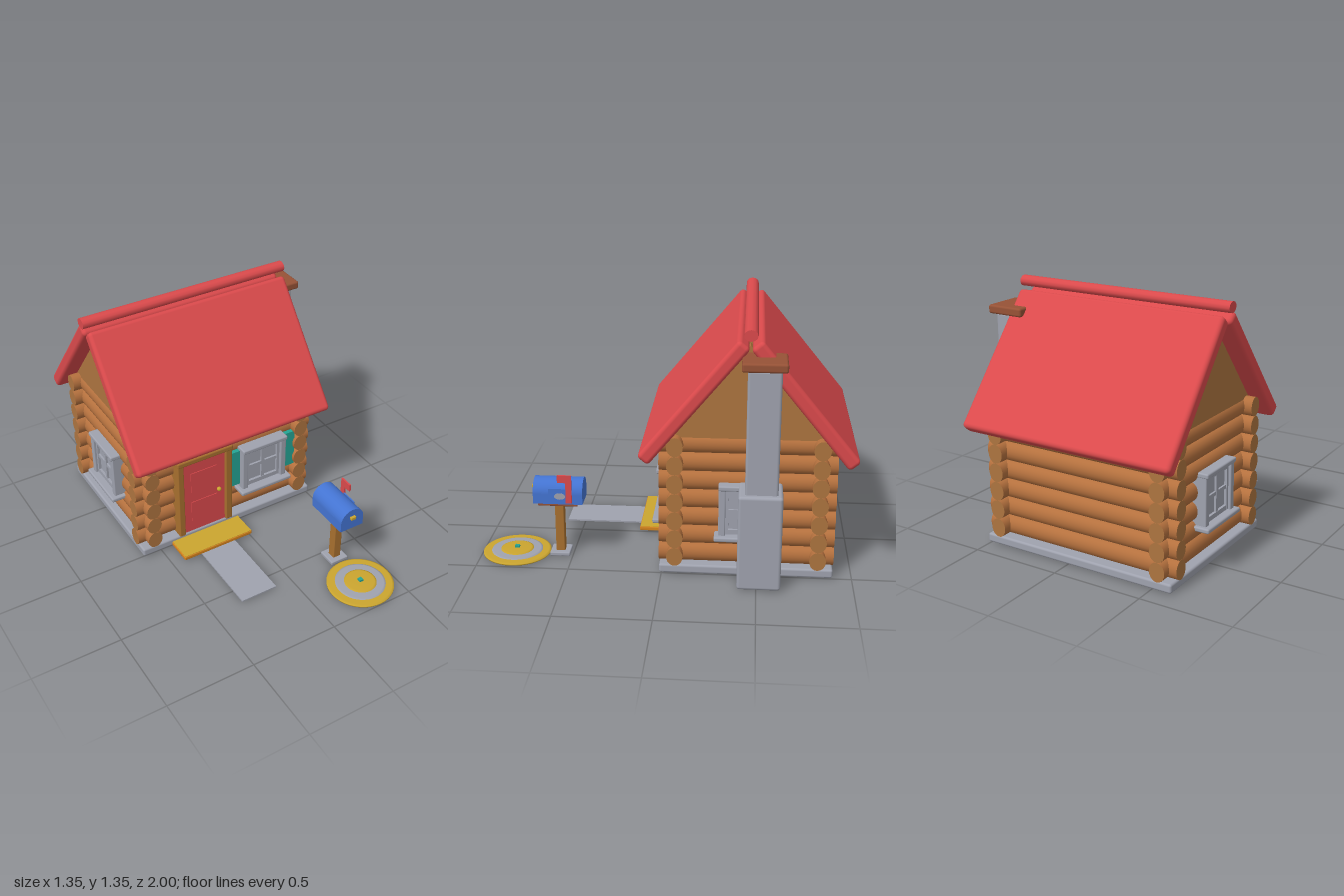
import * as THREE from 'three';
import { RoundedBoxGeometry } from 'three/addons/geometries/RoundedBoxGeometry.js';

const mat = (name, color) => {
  const m = new THREE.MeshStandardMaterial({ color });
  m.name = name;
  return m;
};

export function createModel() {
  const red = mat('red paint', 0xdb4a4c), log = mat('log bark', 0xb5713e), cut = mat('cut wood', 0xad743f);
  const frame = mat('frame wood', 0xa8702f), brown = mat('chimney cap brown', 0x965236);
  const grey = mat('stone grey', 0x9fa2ae), blue = mat('mailbox blue', 0x4474d2);
  const teal = mat('shutter teal', 0x24a494), gold = mat('gold', 0xcba52f), orange = mat('step orange', 0xd6841e);

  const model = new THREE.Group();
  model.name = 'logCabin';

  const add = (parent, name, geometry, material, x = 0, y = 0, z = 0) => {
    const m = new THREE.Mesh(geometry, material);
    m.name = name;
    m.position.set(x, y, z);
    parent.add(m);
    return m;
  };
  const group = (name) => {
    const g = new THREE.Group();
    g.name = name;
    model.add(g);
    return g;
  };
  // Box from its limits, with rounded edges when r > 0
  const box = (parent, name, material, [x0, x1], [y0, y1], [z0, z1], r = 0) => {
    const s = [x1 - x0, y1 - y0, z1 - z0];
    const geo = r ? new RoundedBoxGeometry(...s, 2, r) : new THREE.BoxGeometry(...s);
    return add(parent, name, geo, material, (x0 + x1) / 2, (y0 + y1) / 2, (z0 + z1) / 2);
  };

  // Wall lines run through the log centres
  const xL = 0.432, xR = -0.537, zF = -0.07, zB = -0.818, midZ = -0.444, midX = -0.0525;

  // Foundation
  box(model, 'foundation', grey, [-0.614, 0.51], [0.006, 0.055], [-0.9, 0.012], 0.012);

  // Stacked log walls with the ends crossing at the corners
  const walls = group('logWalls');
  const logGeometry = (length, alongX) => {
    const g = new THREE.CylinderGeometry(0.0515, 0.0515, length, 20);
    g.scale(alongX ? 1 : 0.84, 1, alongX ? 0.84 : 1);
    if (alongX) g.rotateZ(Math.PI / 2);
    else { g.scale(1, 1, 1); g.rotateX(Math.PI / 2); }
    return g;
  };
  const longLog = logGeometry(1.139, true), sideLog = logGeometry(0.92, false);
  for (let i = 0; i < 7; i++) {
    const y = 0.104 + i * 0.1022;
    for (const z of [zF, zB]) add(walls, 'longLog', longLog, [log, cut, cut], midX, y, z);
    for (const x of [xL, xR]) add(walls, 'sideLog', sideLog, [log, cut, cut], x, y, midZ);
  }

  // Gable walls under the roof
  const tri = new THREE.Shape([[-0.425, 0.735], [0.425, 0.735], [0, 1.245]].map((p) => new THREE.Vector2(...p)));
  const gable = new THREE.ExtrudeGeometry(tri, { depth: 0.06, bevelEnabled: false });
  for (const x of [xL, xR]) add(model, 'gable', gable, cut, x - 0.03, 0, midZ).rotation.y = Math.PI / 2;
  for (const m of model.children) if (m.name === 'gable') m.position.x += 0;

  // Two roof slabs and a ridge pole
  const slab = new RoundedBoxGeometry(1.22, 0.075, 0.802, 3, 0.022);
  for (const s of [1, -1]) {
    add(model, s > 0 ? 'frontRoof' : 'backRoof', slab, red, -0.053, 0.96, midZ + s * 0.283).rotation.x = s * 0.883;
  }
  const ridge = new THREE.CylinderGeometry(0.035, 0.035, 1.247, 12);
  ridge.scale(0.83, 1, 1);
  ridge.rotateZ(Math.PI / 2);
  add(model, 'ridgePole', ridge, red, -0.0525, 1.322, midZ);

  // Chimney
  const chimney = group('chimney');
  box(chimney, 'chimneyBase', grey, [0.46, 0.672], [0.006, 0.522], [-0.625, -0.4], 0.016);
  box(chimney, 'chimneyStack', grey, [0.485, 0.643], [0.5, 1.168], [-0.6, -0.432], 0.014);
  box(chimney, 'chimneyCap', brown, [0.46, 0.672], [1.165, 1.212], [-0.627, -0.403], 0.012);

  // Door with frame, two panels and a knob
  const door = group('door');
  box(door, 'doorLeaf', red, [-0.348, -0.076], [0.055, 0.555], [-0.06, 0.005]);
  for (const y of [[0.335, 0.47], [0.128, 0.265]]) box(door, 'doorPanel', red, [-0.296, -0.13], y, [0.003, 0.009]);
  for (const x of [[-0.383, -0.346], [-0.078, -0.038]]) box(door, 'doorPost', frame, x, [0.055, 0.56], [-0.06, 0.024], 0.006);
  box(door, 'doorLintel', frame, [-0.388, -0.034], [0.553, 0.588], [-0.06, 0.032], 0.01);
  add(door, 'doorKnob', new THREE.SphereGeometry(0.013, 14, 10), gold, -0.12, 0.297, 0.016);

  // Window facing +z, origin on the log centre line
  const addWindow = (name, x, z, turn) => {
    const w = group(name);
    w.position.set(x, 0, z);
    w.rotation.y = turn;
    box(w, 'windowPane', grey, [-0.13, 0.13], [0.22, 0.5], [0, 0.06]);
    for (const s of [-1, 1]) {
      box(w, 'windowJamb', grey, [s * 0.128 - 0.018, s * 0.128 + 0.018], [0.225, 0.5], [0, 0.09], 0.006);
      box(w, 'innerSash', grey, [s * 0.104 - 0.01, s * 0.104 + 0.01], [0.24, 0.49], [0, 0.075]);
    }
    for (const y of [0.253, 0.477]) box(w, 'sashRail', grey, [-0.11, 0.11], [y - 0.013, y + 0.013], [0, 0.074]);
    box(w, 'uprightBar', grey, [-0.01, 0.01], [0.24, 0.49], [0, 0.072]);
    box(w, 'crossBar', grey, [-0.11, 0.11], [0.357, 0.377], [0, 0.071]);
    box(w, 'windowLintel', grey, [-0.148, 0.148], [0.49, 0.517], [0, 0.1], 0.008);
    box(w, 'windowSill', grey, [-0.168, 0.168], [0.212, 0.238], [0, 0.118], 0.009);
    return w;
  };
  const front = addWindow('frontWindow', 0.177, zF, 0);
  front.scale.z = 1.12;
  for (const x of [[-0.212, -0.147], [0.147, 0.225]]) box(front, 'shutter', teal, x, [0.26, 0.497], [0, 0.06]);
  addWindow('leftWindow', xL, midZ, Math.PI / 2);
  addWindow('rightWindow', xR, midZ, -Math.PI / 2);

  // Door step and path
  box(model, 'doorStep', orange, [-0.432, 0.01], [0.01, 0.034], [-0.005, 0.165], 0.006);
  box(model, 'stepTop', gold, [-0.428, 0.006], [0.031, 0.036], [0, 0.161]);
  box(model, 'path', grey, [-0.322, -0.105], [0.004, 0.013], [0.1, 0.6]);

  // Mailbox on its post
  const mail = group('mailbox');
  const mx = 0.308;
  box(mail, 'postFoot', grey, [mx - 0.055, mx + 0.055], [0.006, 0.028], [0.512, 0.622], 0.006);
  box(mail, 'post', frame, [mx - 0.024, mx + 0.024], [0.02, 0.31], [0.543, 0.592], 0.005);
  box(mail, 'postShelf', brown, [mx - 0.06, mx + 0.06], [0.305, 0.324], [0.462, 0.676], 0.005);
  const arch = new THREE.Shape();
  arch.moveTo(-0.073, 0.323);
  arch.lineTo(0.073, 0.323);
  arch.lineTo(0.073, 0.378);
  arch.absarc(0, 0.378, 0.073, 0, Math.PI, false);
  add(mail, 'mailboxBody', new THREE.ExtrudeGeometry(arch, { depth: 0.267, bevelEnabled: false, curveSegments: 20 }), blue, mx, 0, 0.432);
  box(mail, 'mailboxPull', gold, [mx - 0.016, mx + 0.016], [0.388, 0.408], [0.695, 0.714], 0.004);
  box(mail, 'sidePlate', blue, [mx + 0.07, mx + 0.076], [0.335, 0.412], [0.52, 0.615]);
  const badge = new THREE.CylinderGeometry(0.03, 0.03, 0.008, 20);
  badge.rotateZ(Math.PI / 2);
  add(mail, 'sideBadge', badge, grey, mx + 0.075, 0.37, 0.553).scale.y = 0.6;
  box(mail, 'flagArm', red, [mx + 0.073, mx + 0.083], [0.333, 0.492], [0.488, 0.52]);
  box(mail, 'flag', red, [mx + 0.073, mx + 0.083], [0.45, 0.492], [0.515, 0.564]);

  // Round garden dial built from stepped discs
  const dial = group('gardenDial');
  dial.position.set(mx, 0, 0.813);
  const disc = (name, r, y0, y1, m) => {
    const pts = [[0, y0], [r - 0.008, y0], [r, y0 + 0.005], [r, y1 - 0.005], [r - 0.012, y1], [0, y1]];
    add(dial, name, new THREE.LatheGeometry(pts.map((p) => new THREE.Vector2(...p)), 40), m);
  };
  disc('outerDisc', 0.186, 0, 0.016, gold);
  disc('stoneRing', 0.14, 0.006, 0.021, grey);
  disc('innerDisc', 0.09, 0.01, 0.026, gold);
  box(dial, 'dialPeg', teal, [-0.012, 0.012], [0.02, 0.038], [-0.012, 0.012]);

  return model;
}
